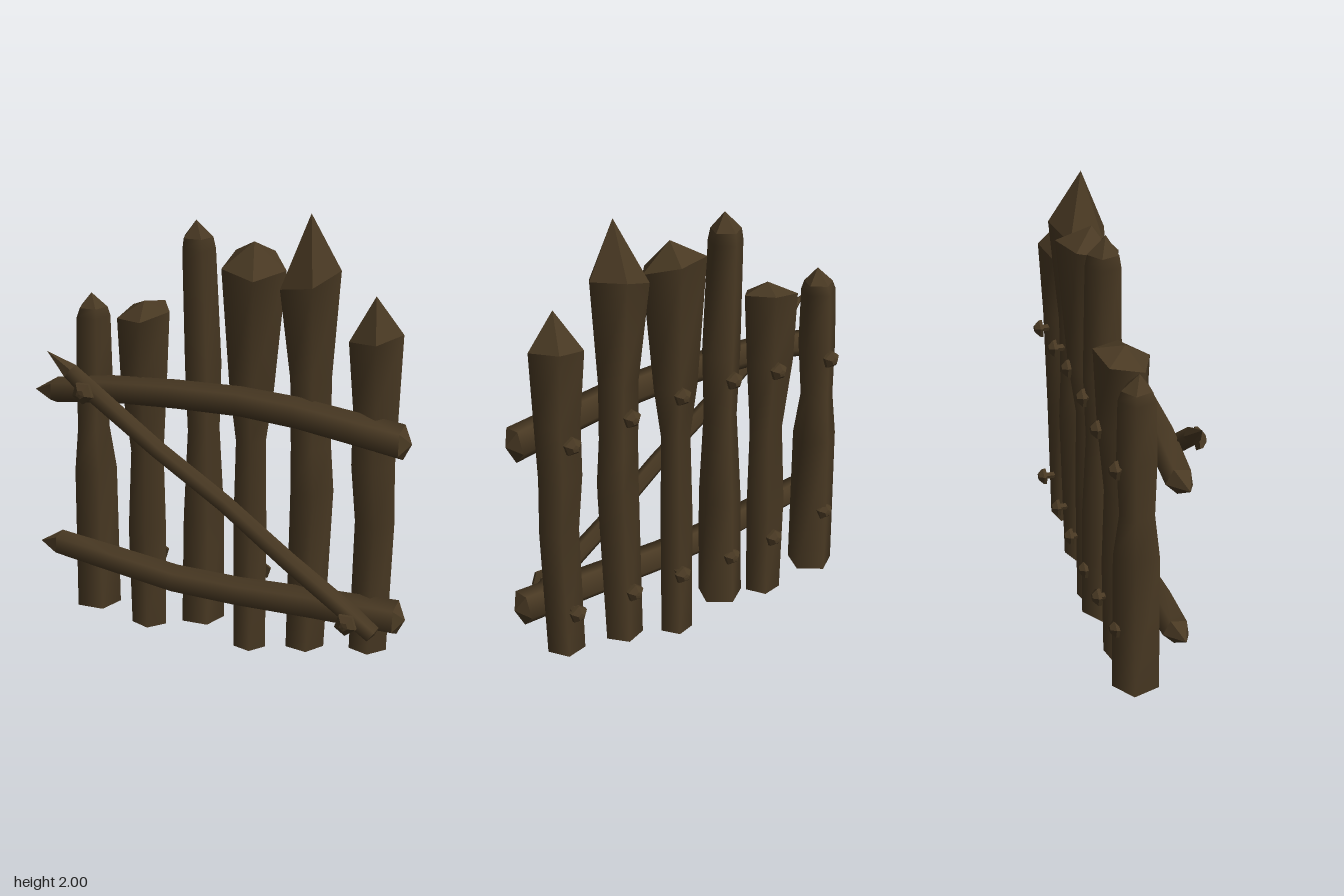
import * as THREE from 'three';

const SIDES = 5;
const wood = new THREE.MeshStandardMaterial({ color: 0x493923 });
wood.name = 'dark wood';

const geometryFrom = (positions, index) => {
  const g = new THREE.BufferGeometry();
  g.setAttribute('position', new THREE.Float32BufferAttribute(positions, 3));
  if (index) g.setIndex(index);
  g.computeVertexNormals();
  return g;
};

// Five-sided log: smooth body through rings [x, y, z, radius], faceted ends.
// tilt slants the last ring along the axis; start and end are the end points.
function makeLog(name, { rings, axis, u, turn = 0, tilt = [0, 0], start, end }) {
  const w = new THREE.Vector3(...axis).normalize();
  const uu = new THREE.Vector3(...u);
  const v = w.clone().cross(uu);
  const points = [];
  rings.forEach(([x, y, z, r], i) => {
    for (let j = 0; j < SIDES; j++) {
      const a = THREE.MathUtils.degToRad(turn) + (j / SIDES) * Math.PI * 2;
      const c = Math.cos(a), s = Math.sin(a);
      const p = new THREE.Vector3(x, y, z).addScaledVector(uu, c * r).addScaledVector(v, s * r);
      if (i === rings.length - 1) p.addScaledVector(w, tilt[0] * c + tilt[1] * s);
      points.push(p);
    }
  });
  const index = [];
  for (let i = 0; i < rings.length - 1; i++) {
    for (let j = 0; j < SIDES; j++) {
      const k = (j + 1) % SIDES;
      const a = i * SIDES + j, b = i * SIDES + k;
      index.push(a, b, b + SIDES, a, b + SIDES, a + SIDES);
    }
  }
  const ends = [];
  const last = (rings.length - 1) * SIDES;
  for (let j = 0; j < SIDES; j++) {
    const k = (j + 1) % SIDES;
    ends.push(...points[k].toArray(), ...points[j].toArray(), ...start);
    ends.push(...points[last + j].toArray(), ...points[last + k].toArray(), ...end);
  }
  const body = new THREE.Mesh(geometryFrom(points.flatMap((p) => p.toArray()), index), wood);
  body.name = name + 'Body';
  const caps = new THREE.Mesh(geometryFrom(ends), wood);
  caps.name = name + 'Ends';
  const log = new THREE.Group();
  log.name = name;
  log.add(body, caps);
  return log;
}

// Wooden peg with a wide faceted head, pointing along +z or -z
function makePeg(name, x, y, z, r, facing) {
  const profile = [[0.016, -0.09], [0.016, 0], [r, 0], [r * 0.95, 0.014], [r * 0.4, 0.036], [0, 0.038]];
  const g = new THREE.LatheGeometry(profile.map((p) => new THREE.Vector2(...p)), SIDES).toNonIndexed();
  g.computeVertexNormals();
  g.rotateX((facing * Math.PI) / 2);
  const peg = new THREE.Mesh(g, wood);
  peg.name = name;
  peg.position.set(x, y, z);
  return peg;
}

// Upright pickets: rings are [x, y, radius], tip is [x, y]
const PICKETS = [
  { z: -0.095, turn: 90, tip: [-0.645, 1.565], tilt: [0, 0],
    rings: [[-0.655, 0.085, 0.105], [-0.655, 0.75, 0.1], [-0.66, 0.95, 0.075], [-0.65, 1.2, 0.085], [-0.647, 1.46, 0.079], [-0.645, 1.5, 0.065]] },
  { z: -0.08, turn: -5, tip: [-0.385, 1.555], tilt: [0.015, 0.025],
    rings: [[-0.383, 0.035, 0.083], [-0.385, 0.5, 0.09], [-0.38, 0.87, 0.077], [-0.39, 1.2, 0.108], [-0.387, 1.505, 0.122]] },
  { z: -0.095, turn: 90, tip: [-0.145, 1.925], tilt: [0, 0],
    rings: [[-0.133, 0.095, 0.102], [-0.127, 0.6, 0.097], [-0.125, 1, 0.075], [-0.127, 1.3, 0.085], [-0.143, 1.8, 0.077], [-0.145, 1.85, 0.068]] },
  { z: -0.085, turn: 0, tip: [0.12, 1.855], tilt: [-0.015, 0.04],
    rings: [[0.105, 0, 0.075], [0.105, 0.6, 0.076], [0.107, 0.98, 0.068], [0.11, 1.22, 0.1], [0.117, 1.755, 0.143]] },
  { z: -0.065, turn: 5, tip: [0.375, 1.995], tilt: [0.03, 0.035],
    rings: [[0.372, 0.06, 0.088], [0.393, 0.8, 0.097], [0.385, 1, 0.09], [0.38, 1.3, 0.092], [0.37, 1.73, 0.133]] },
  { z: -0.065, turn: -3, tip: [0.66, 1.675], tilt: [0.015, 0.02],
    rings: [[0.665, 0.1, 0.085], [0.68, 0.7, 0.088], [0.665, 0.95, 0.096], [0.67, 1.2, 0.1], [0.663, 1.51, 0.118]] },
];

export function createModel() {
  const fence = new THREE.Group();
  fence.name = 'woodenFence';

  PICKETS.forEach(({ z, turn, tip, tilt, rings }, i) => {
    const [bx, by] = rings[0];
    fence.add(makeLog('picket' + (i + 1), {
      rings: rings.map(([x, y, r]) => [x, y, z, r]),
      axis: [0, 1, 0], u: [1, 0, 0], turn, tilt,
      start: [bx, by, z], end: [tip[0], tip[1], z + 0.01],
    }));
  });

  // Two bowed rails across the front
  const rail = { axis: [1, 0, 0], u: [0, 0, -1], turn: -8 };
  fence.add(makeLog('upperRail', { ...rail,
    rings: [[-0.77, 1.14, 0.045, 0.06], [-0.5, 1.175, 0.05, 0.064], [-0.2, 1.185, 0.045, 0.067], [0.1, 1.185, 0.04, 0.069],
      [0.35, 1.165, 0.04, 0.072], [0.6, 1.125, 0.035, 0.075], [0.815, 1.09, 0.03, 0.079]],
    start: [-0.86, 1.14, 0.06], end: [0.855, 1.09, 0.03],
  }));
  fence.add(makeLog('lowerRail', { ...rail,
    rings: [[-0.77, 0.41, 0.045, 0.06], [-0.5, 0.37, 0.05, 0.064], [-0.2, 0.32, 0.045, 0.067], [0.1, 0.305, 0.04, 0.069],
      [0.45, 0.305, 0.035, 0.074], [0.815, 0.3, 0.03, 0.079]],
    start: [-0.86, 0.415, 0.06], end: [0.855, 0.3, 0.03],
  }));

  // Thin diagonal brace in front of the rails
  fence.add(makeLog('diagonalBrace', {
    axis: [1.45, -1.1, 0], u: [0, 0, 1], turn: 36,
    rings: [[-0.65, 1.262, 0.13, 0.038], [-0.57, 1.195, 0.128, 0.043], [-0.25, 0.955, 0.12, 0.04],
      [0.06, 0.745, 0.112, 0.04], [0.35, 0.52, 0.105, 0.042], [0.735, 0.245, 0.1, 0.046]],
    start: [-0.757, 1.345, 0.135], end: [0.742, 0.24, 0.1],
  }));

  // Pegs through the brace
  fence.add(makePeg('upperBracePeg', -0.567, 1.19, 0.175, 0.052, 1));
  fence.add(makePeg('lowerBracePeg', 0.635, 0.305, 0.17, 0.052, 1));

  // Pegs at the back, one per picket and rail
  const backPegs = [[-0.66, 1.16, 0.39], [-0.37, 1.18, 0.345], [-0.135, 1.2, 0.33], [0.13, 1.2, 0.33], [0.38, 1.17, 0.33], [0.665, 1.13, 0.33]];
  backPegs.forEach(([x, upper, lower], i) => {
    fence.add(makePeg('upperBackPeg' + (i + 1), x, upper, -0.175, 0.042, -1));
    fence.add(makePeg('lowerBackPeg' + (i + 1), x, lower, -0.175, 0.042, -1));
  });

  return fence;
}
